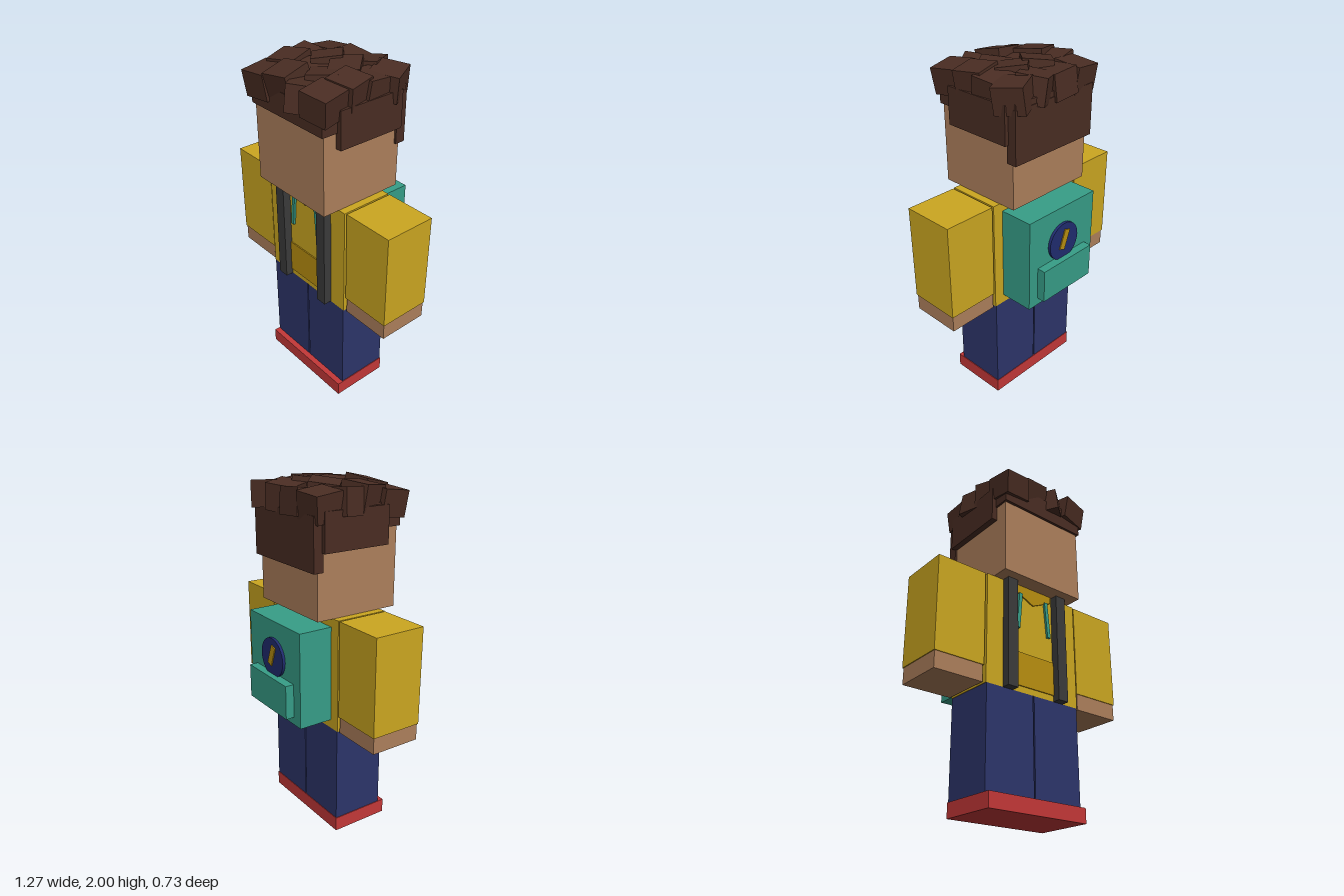
import * as THREE from 'three';

const mat = (name, color) => {
  const m = new THREE.MeshStandardMaterial({ color });
  m.name = name;
  return m;
};

export function createModel() {
  const model = new THREE.Group();
  model.name = 'blockyFigure';
  const yellow = mat('hoodieYellow', 0xcca721);
  const darkYellow = mat('darkYellow', 0xb98f10);
  const skin = mat('skin', 0xae805c);
  const navy = mat('trouserNavy', 0x2d356b);
  const red = mat('shoeRed', 0xc43838);
  const brown = mat('hairBrown', 0x4a2d23);
  const teal = mat('backpackTeal', 0x379e88);
  const charcoal = mat('strapCharcoal', 0x3b3b3b);
  const badgeBlue = mat('badgeBlue', 0x202c70);

  const add = (name, geometry, material) => {
    const mesh = new THREE.Mesh(geometry, material);
    mesh.name = name;
    model.add(mesh);
    return mesh;
  };
  // Box given by its lower and upper limits on each axis
  const box = (name, material, [x0, x1], [y0, y1], [z0, z1]) => {
    const mesh = add(name, new THREE.BoxGeometry(x1 - x0, y1 - y0, z1 - z0), material);
    mesh.position.set((x0 + x1) / 2, (y0 + y1) / 2, (z0 + z1) / 2);
    return mesh;
  };
  // Thin plate from an outline in the xy plane
  const plate = (name, material, points, z, depth = 0.008) => {
    const shape = new THREE.Shape(points.map(([x, y]) => new THREE.Vector2(x, y)));
    const mesh = add(name, new THREE.ExtrudeGeometry(shape, { depth, bevelEnabled: false }), material);
    mesh.position.z = z;
    return mesh;
  };

  // Body and head
  box('torso', yellow, [-0.32, 0.32], [0.645, 1.29], [-0.11, 0.2]);
  box('head', skin, [-0.275, 0.275], [1.29, 1.8], [-0.21, 0.3]);
  box('frontPocket', darkYellow, [-0.145, 0.145], [0.68, 0.875], [0.19, 0.207]);
  plate('collar', darkYellow, [[-0.13, 1.29], [-0.13, 1.25], [0, 1.19], [0.13, 1.25], [0.13, 1.29]], 0.2);

  // Paired parts, mirrored across x
  for (const s of [-1, 1]) {
    const side = s > 0 ? 'left' : 'right';
    const span = (a, b) => (s > 0 ? [a, b] : [-b, -a]);
    box(side + 'Sleeve', yellow, span(0.33, 0.635), [0.74, 1.29], [-0.11, 0.195]);
    box(side + 'Hand', skin, span(0.335, 0.63), [0.645, 0.74], [-0.105, 0.19]);
    box(side + 'Leg', navy, span(0.004, 0.316), [0.08, 0.645], [-0.11, 0.2]);
    box(side + 'Shoe', red, span(0, 0.32), [0, 0.083], [-0.113, 0.235]);
    box(side + 'Strap', charcoal, span(0.143, 0.21), [0.645, 1.29], [0.2, 0.247]);
    const cord = box(side + 'Drawstring', teal, [-0.011, 0.011], [1.02, 1.24], [0.2, 0.214]);
    cord.position.x = s * 0.102;
    cord.rotation.z = s * 0.09;
    box(side + 'SideHair', brown, span(0.27, 0.31), [1.65, 1.86], [-0.19, 0.22]);
  }

  // Backpack with pocket and round badge
  box('backpack', teal, [-0.257, 0.257], [0.695, 1.24], [-0.31, -0.11]);
  box('backpackPocket', teal, [-0.192, 0.192], [0.74, 0.935], [-0.36, -0.31]);
  const badge = add('badge', new THREE.CylinderGeometry(0.112, 0.112, 0.02, 32), badgeBlue);
  badge.rotation.x = Math.PI / 2;
  badge.position.set(0, 1.033, -0.316);
  const bar = box('badgeBar', darkYellow, [-0.02, 0.02], [0.985, 1.105], [-0.332, -0.324]);
  bar.rotation.z = 0.35;

  // Hair base
  box('hairCap', brown, [-0.285, 0.285], [1.737, 1.87], [-0.235, 0.315]);
  box('backHair', brown, [-0.287, 0.287], [1.55, 1.84], [-0.24, -0.18]);

  // Tousled clumps: x, y, z, turn, tilt forward, tilt sideways (degrees)
  const clumps = [
    [-0.225, 1.88, -0.16, 4, -6, 5], [-0.07, 1.88, -0.165, 0, 5, -4],
    [0.075, 1.89, -0.165, 26, -5, 6], [0.225, 1.885, -0.165, 26, 6, -5],
    [-0.235, 1.885, -0.01, 12, 5, -6], [-0.075, 1.905, -0.03, 48, -5, 7],
    [0.075, 1.905, -0.02, 42, 7, 5], [0.22, 1.885, -0.035, 6, -6, -5],
    [-0.215, 1.9, 0.11, 18, 6, 6], [-0.065, 1.875, 0.1, 8, 4, -5],
    [0.075, 1.89, 0.12, 40, -6, 4], [0.22, 1.9, 0.095, 12, 5, -6],
    [-0.22, 1.865, 0.262, 4, 7, 5], [-0.065, 1.9, 0.24, 8, 12, 7],
    [0.08, 1.87, 0.25, 38, -7, -4], [0.225, 1.88, 0.255, 9, 6, -7],
  ];
  const rad = THREE.MathUtils.degToRad;
  const clumpGeometry = new THREE.BoxGeometry(0.165, 0.145, 0.165);
  for (const [x, y, z, turn, pitch, roll] of clumps) {
    const clump = add('hairClump', clumpGeometry, brown);
    clump.position.set(x, y, z);
    clump.rotation.set(rad(pitch), rad(turn), rad(roll), 'YXZ');
  }
  return model;
}
